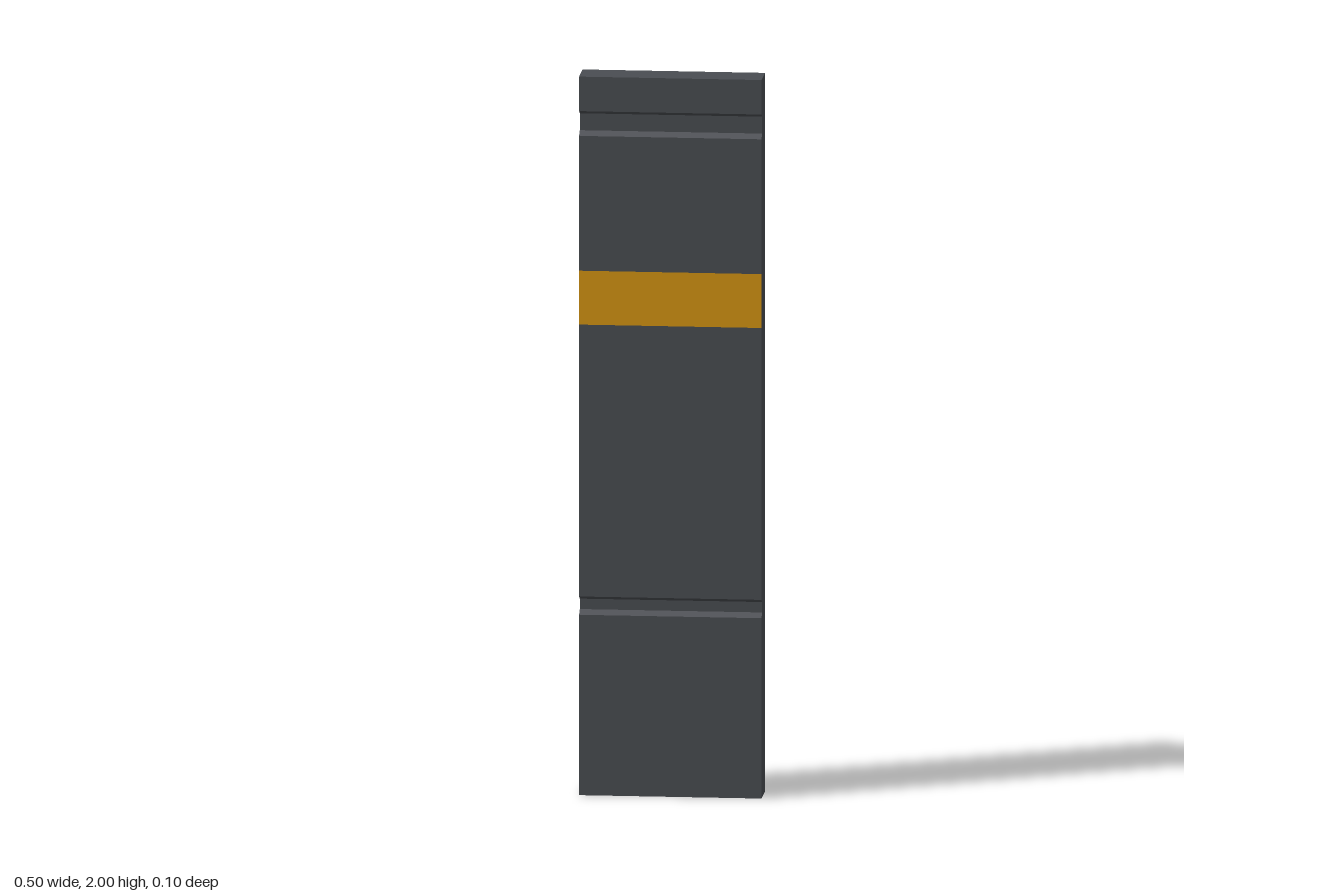
import * as THREE from 'three';

const WIDTH = 0.5, HEIGHT = 2, FRONT = 0.05, GROOVE_FLOOR = 0.03;

export function createModel() {
  const group = new THREE.Group();
  group.name = 'wallPanel';
  const darkGrey = new THREE.MeshStandardMaterial({ name: 'darkGrey', color: 0x4a4d52 });
  const amber = new THREE.MeshStandardMaterial({ name: 'amber', color: 0xd69511 });

  // Side profile (z, y) with two bevelled grooves cut into the front
  const profile = new THREE.Shape();
  profile.moveTo(-FRONT, 0);
  profile.lineTo(FRONT, 0);
  for (const [bottom, top] of [[0.502, 0.553], [1.835, 1.904]]) {
    profile.lineTo(FRONT, bottom);
    profile.lineTo(GROOVE_FLOOR, bottom + 0.012);
    profile.lineTo(GROOVE_FLOOR, top - 0.01);
    profile.lineTo(FRONT, top);
  }
  profile.lineTo(FRONT, HEIGHT);
  profile.lineTo(-FRONT, HEIGHT);
  profile.closePath();

  // Panel body, extruded across its width
  const bodyGeometry = new THREE.ExtrudeGeometry(profile, { depth: WIDTH, bevelEnabled: false });
  bodyGeometry.rotateY(-Math.PI / 2).translate(WIDTH / 2, 0, 0);
  const body = new THREE.Mesh(bodyGeometry, darkGrey);
  body.name = 'panelBody';

  // Painted stripe across the front
  const stripe = new THREE.Mesh(new THREE.PlaneGeometry(WIDTH, 0.15), amber);
  stripe.name = 'frontStripe';
  stripe.position.set(0, 1.385, FRONT + 0.001);

  group.add(body, stripe);
  return group;
}
